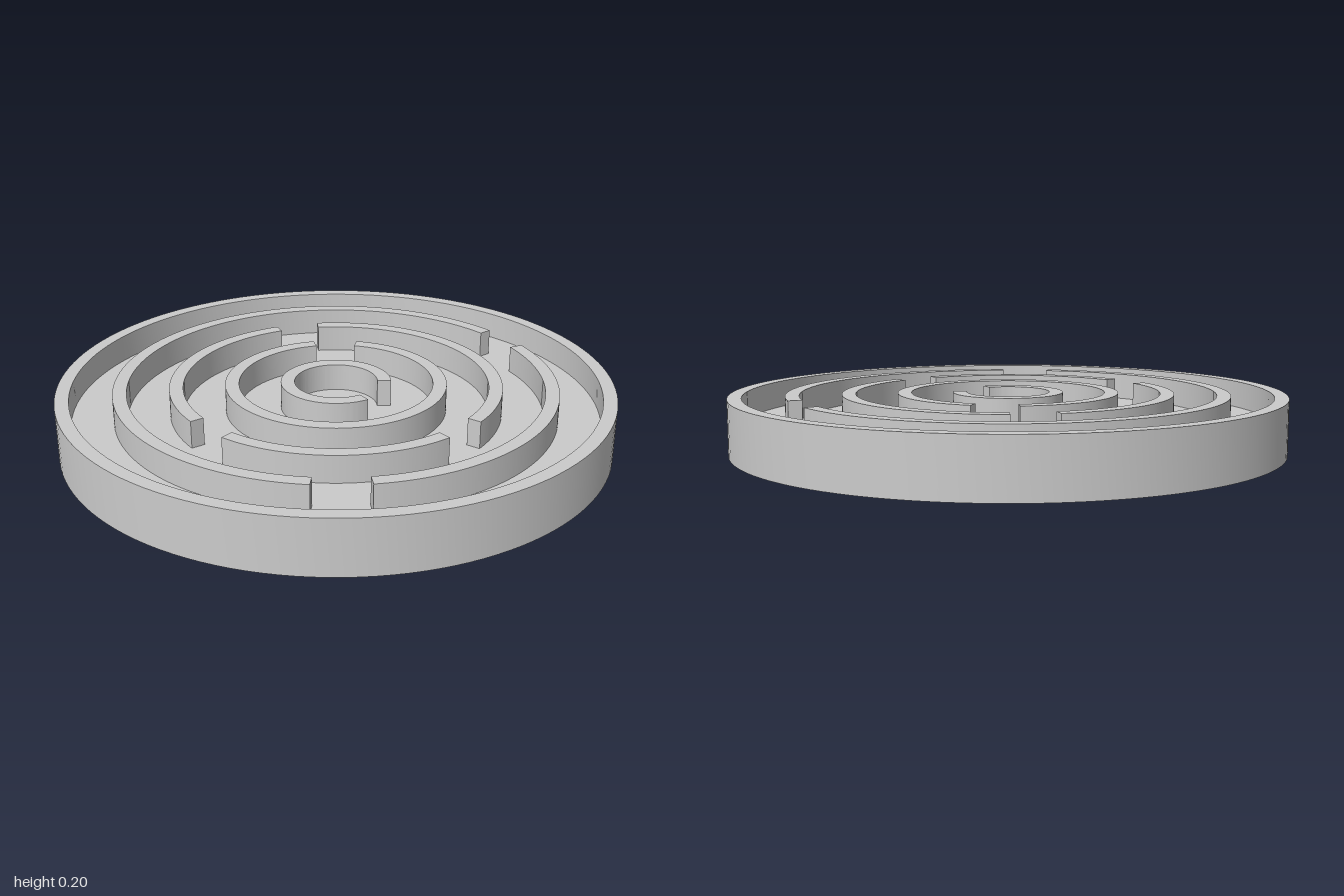
import * as THREE from 'three';
import { toCreasedNormals } from 'three/addons/utils/BufferGeometryUtils.js';

const FLOOR = 0.1, TOP = 0.2, WALL = 0.05;
const rad = THREE.MathUtils.degToRad;

export function createModel() {
  const model = new THREE.Group();
  model.name = 'circularMaze';
  const material = new THREE.MeshStandardMaterial({ color: 0xcccccc });

  const add = (name, geometry) => {
    const mesh = new THREE.Mesh(toCreasedNormals(geometry, rad(30)), material);
    mesh.name = name;
    model.add(mesh);
  };

  // Round tray: solid base with a raised outer rim
  const profile = [[0, 0], [1, 0], [1, TOP], [1 - WALL, TOP], [1 - WALL, FLOOR], [0, FLOOR]]
    .map(([x, y]) => new THREE.Vector2(x, y));
  add('tray', new THREE.LatheGeometry(profile, 128));

  // Curved wall between two angles, measured from +x towards +z
  const arcWall = (name, radius, from, to) => {
    const shape = new THREE.Shape();
    shape.absarc(0, 0, radius, rad(from), rad(to), false);
    shape.absarc(0, 0, radius - WALL, rad(to), rad(from), true);
    const geometry = new THREE.ExtrudeGeometry(shape, {
      depth: TOP - FLOOR, bevelEnabled: false, curveSegments: 80,
    });
    geometry.rotateX(Math.PI / 2).translate(0, TOP, 0);
    add(name, geometry);
  };

  // Concentric maze walls, with gaps left between the arcs
  const rings = [
    { name: 'outerWall', radius: 0.8, arcs: [[-13.5, 94.3], [108.2, 332.8]] },
    { name: 'middleWall', radius: 0.6, arcs: [[-84.9, 48.3], [64.1, 141.2], [157.1, 259.3]] },
    { name: 'innerWall', radius: 0.4, arcs: [[-66, 270]] },
    { name: 'centreWall', radius: 0.2, arcs: [[68.3, 371.6]] },
  ];
  for (const { name, radius, arcs } of rings) {
    arcs.forEach(([from, to], i) => arcWall(`${name}${i + 1}`, radius, from, to));
  }

  return model;
}
